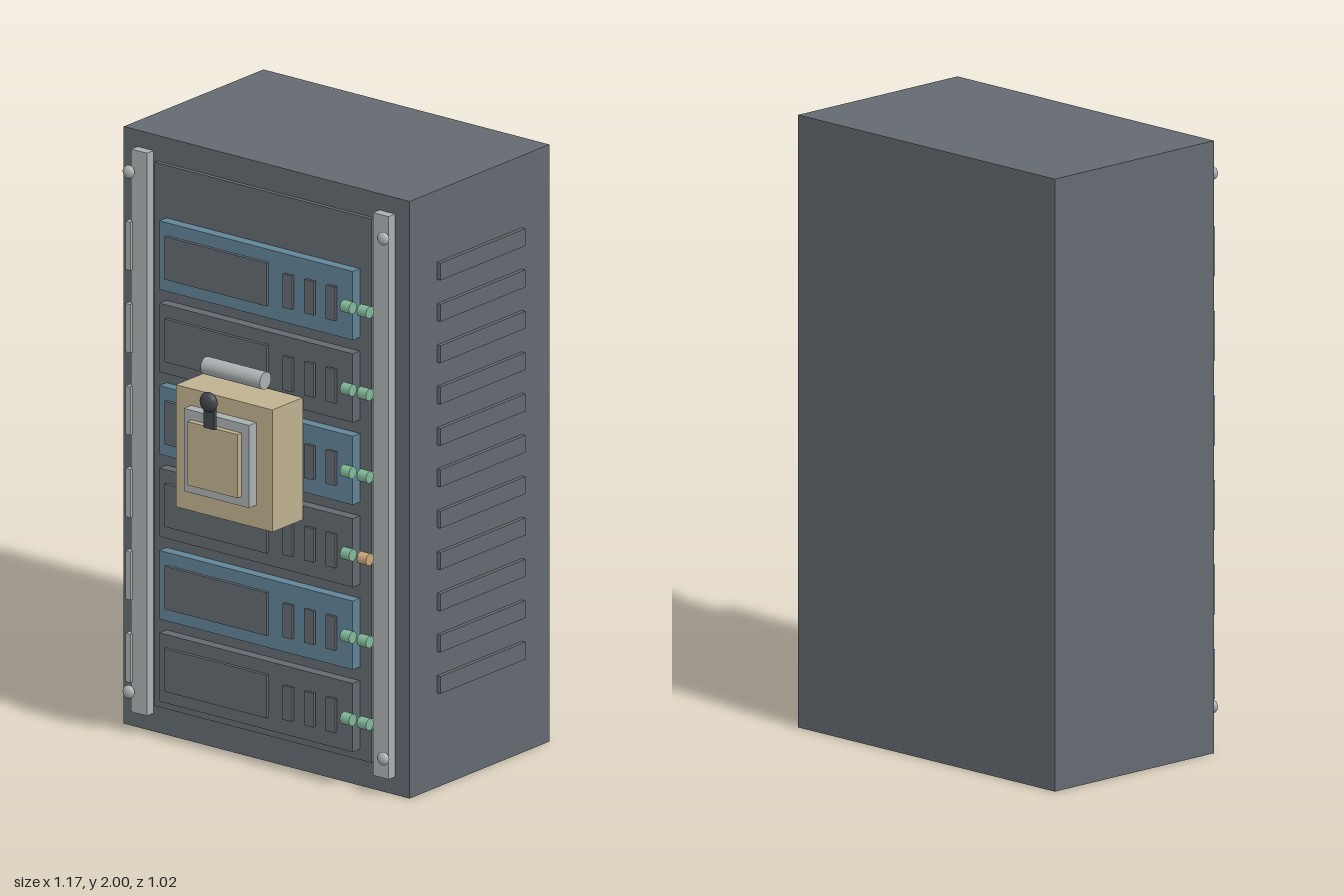
import * as THREE from 'three';

const mat = (name, color) => {
  const m = new THREE.MeshStandardMaterial({ color });
  m.name = name;
  return m;
};

export function createModel() {
  const slate = mat('slate', 0x636a70);
  const blue = mat('blue', 0x628498);
  const steel = mat('steel', 0xabb1b2);
  const tan = mat('tan', 0xc0b290);
  const green = mat('green', 0x82b898);
  const amber = mat('amber', 0xc8a878);
  const charcoal = mat('charcoal', 0x41464b);

  const model = new THREE.Group();
  model.name = 'equipmentCabinet';

  const add = (parent, name, geometry, material, x = 0, y = 0, z = 0) => {
    const mesh = new THREE.Mesh(geometry, material);
    mesh.name = name;
    mesh.position.set(x, y, z);
    parent.add(mesh);
    return mesh;
  };
  // Box given by its extents on each axis
  const box = (parent, name, material, [x0, x1], [y0, y1], [z0, z1]) =>
    add(parent, name, new THREE.BoxGeometry(x1 - x0, y1 - y0, z1 - z0), material,
      (x0 + x1) / 2, (y0 + y1) / 2, (z0 + z1) / 2);
  const group = (name) => {
    const g = new THREE.Group();
    g.name = name;
    model.add(g);
    return g;
  };

  // Cabinet shell and front panel
  box(model, 'cabinet', slate, [-0.587, 0.573], [0, 2], [-0.511, 0.196]);
  box(model, 'frontPanel', slate, [-0.451, 0.431], [0.093, 1.914], [0.19, 0.211]);

  // Vent slats on the left side
  const vents = group('sideVents');
  for (let i = 0; i < 11; i++) {
    const y = 0.345 + i * 0.1385;
    box(vents, 'vent', slate, [0.565, 0.587], [y - 0.029, y + 0.029], [-0.372, 0.057]);
  }

  // Mounting rails with flattened bolts
  const rails = group('rails');
  for (const [railX, boltX] of [[-0.499, -0.526], [0.482, 0.507]]) {
    box(rails, 'rail', steel, [railX - 0.032, railX + 0.032], [0.06, 1.945], [0.19, 0.228]);
    for (const y of [0.133, 1.875])
      add(rails, 'bolt', new THREE.SphereGeometry(0.022, 16, 12), steel, boltX, y, 0.247)
        .scale.z = 0.64;
  }

  // Six rack units, alternating colours from the bottom up
  const ledGeometry = new THREE.CylinderGeometry(0.021, 0.021, 0.037, 8).rotateZ(Math.PI / 2);
  for (let i = 0; i < 6; i++) {
    const y = 0.243 + i * 0.276;
    const unit = group('rackUnit');
    box(unit, 'unitFace', i % 2 ? blue : slate, [-0.402, 0.383], [y - 0.115, y + 0.115], [0.208, 0.247]);
    box(unit, 'unitDisplay', slate, [-0.371, 0.042], [y - 0.072, y + 0.072], [0.245, 0.259]);
    for (const x of [0.136, 0.223, 0.311])
      box(unit, 'slot', slate, [x - 0.019, x + 0.019], [y - 0.057, y + 0.057], [0.26, 0.27]);
    add(unit, 'innerLamp', ledGeometry, green, 0.378, y, 0.263);
    add(unit, 'outerLamp', ledGeometry, i === 2 ? amber : green, 0.447, y, 0.263);
    box(unit, 'railClip', steel, [-0.545, -0.525], [y - 0.081, y + 0.081], [0.21, 0.24]);
  }

  // Control box with stepped front plates
  const control = group('controlBox');
  box(control, 'controlHousing', tan, [-0.204, 0.188], [0.867, 1.276], [0.256, 0.41]);
  box(control, 'controlFrame', steel, [-0.142, 0.123], [0.943, 1.22], [0.405, 0.447]);
  box(control, 'controlPlate', tan, [-0.112, 0.092], [0.975, 1.188], [0.44, 0.467]);

  // Lever with a flattened knob
  box(control, 'leverStem', charcoal, [-0.032, 0.011], [1.19, 1.285], [0.471, 0.485]);
  add(control, 'leverKnob', new THREE.SphereGeometry(0.033, 20, 14), charcoal, -0.01, 1.28, 0.486)
    .scale.z = 0.6;

  // Grab bar above the control box
  const bar = new THREE.CylinderGeometry(0.029, 0.029, 0.241, 24).rotateZ(Math.PI / 2);
  add(control, 'grabBar', bar, steel, -0.009, 1.341, 0.35);

  return model;
}
